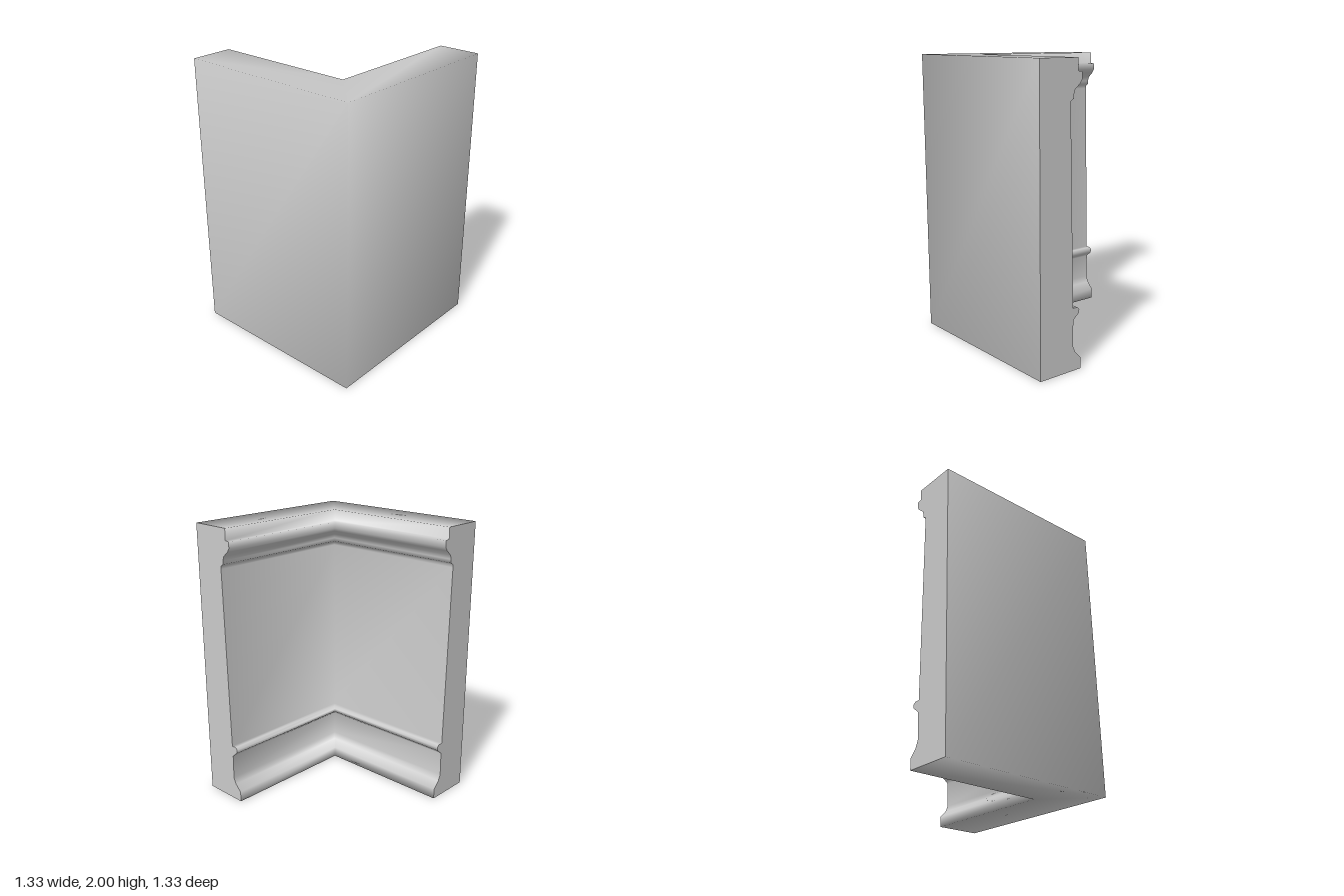
import * as THREE from 'three';

const H = 0.667; // half length of each arm

// Wall section: [depth inward from the outer face, height]
const PROFILE = [
  [0, 0], [0, 2], [0.3, 2], [0.3, 1.92],                     // outer face and top
  [0.333, 1.915], [0.333, 1.87], [0.315, 1.845],             // cornice lip
  [0.275, 1.81], [0.265, 1.78], [0.265, 1.755], [0.24, 1.74], [0.24, 1.72], // cornice cove
  [0.265, 0.425], [0.3, 0.425], [0.318, 0.41], [0.315, 0.385], // panel and rail bead
  [0.29, 0.365], [0.268, 0.345], [0.265, 0.17],              // rail underside, skirting
  [0.285, 0.125], [0.333, 0.075], [0.333, 0],                // flared foot
];

// Sweeps the section along both arms with a mitred corner
function sweepGeometry() {
  const rings = [
    (d, y) => [H - d, y, -H],
    (d, y) => [H - d, y, H - d],
    (d, y) => [-H, y, H - d],
  ];
  const n = PROFILE.length;
  const positions = rings.flatMap((ring) => PROFILE.flatMap(([d, y]) => ring(d, y)));
  const index = [];
  for (let r = 0; r < 2; r++) {
    for (let i = 0; i < n; i++) {
      const a = r * n + i, b = r * n + (i + 1) % n;
      index.push(a, b, a + n, b, b + n, a + n);
    }
  }
  const geometry = new THREE.BufferGeometry();
  geometry.setAttribute('position', new THREE.Float32BufferAttribute(positions, 3));
  geometry.setIndex(index);
  geometry.computeVertexNormals();
  return geometry;
}

// Flat end of an arm; sign mirrors the section
function capGeometry(sign) {
  const points = PROFILE.map(([d, y]) => new THREE.Vector2(sign * d, y));
  return new THREE.ShapeGeometry(new THREE.Shape(points));
}

export function createModel() {
  const group = new THREE.Group();
  group.name = 'wallCorner';
  const material = new THREE.MeshStandardMaterial({ color: 0xcccccc });

  const add = (name, geometry) => {
    const mesh = new THREE.Mesh(geometry, material);
    mesh.name = name;
    group.add(mesh);
    return mesh;
  };

  add('mouldedWall', sweepGeometry());

  // End faces of the two arms
  const backEnd = add('backEndFace', capGeometry(1));
  backEnd.rotation.y = Math.PI;
  backEnd.position.set(H, 0, -H);

  const sideEnd = add('sideEndFace', capGeometry(-1));
  sideEnd.rotation.y = -Math.PI / 2;
  sideEnd.position.set(-H, 0, H);

  return group;
}
